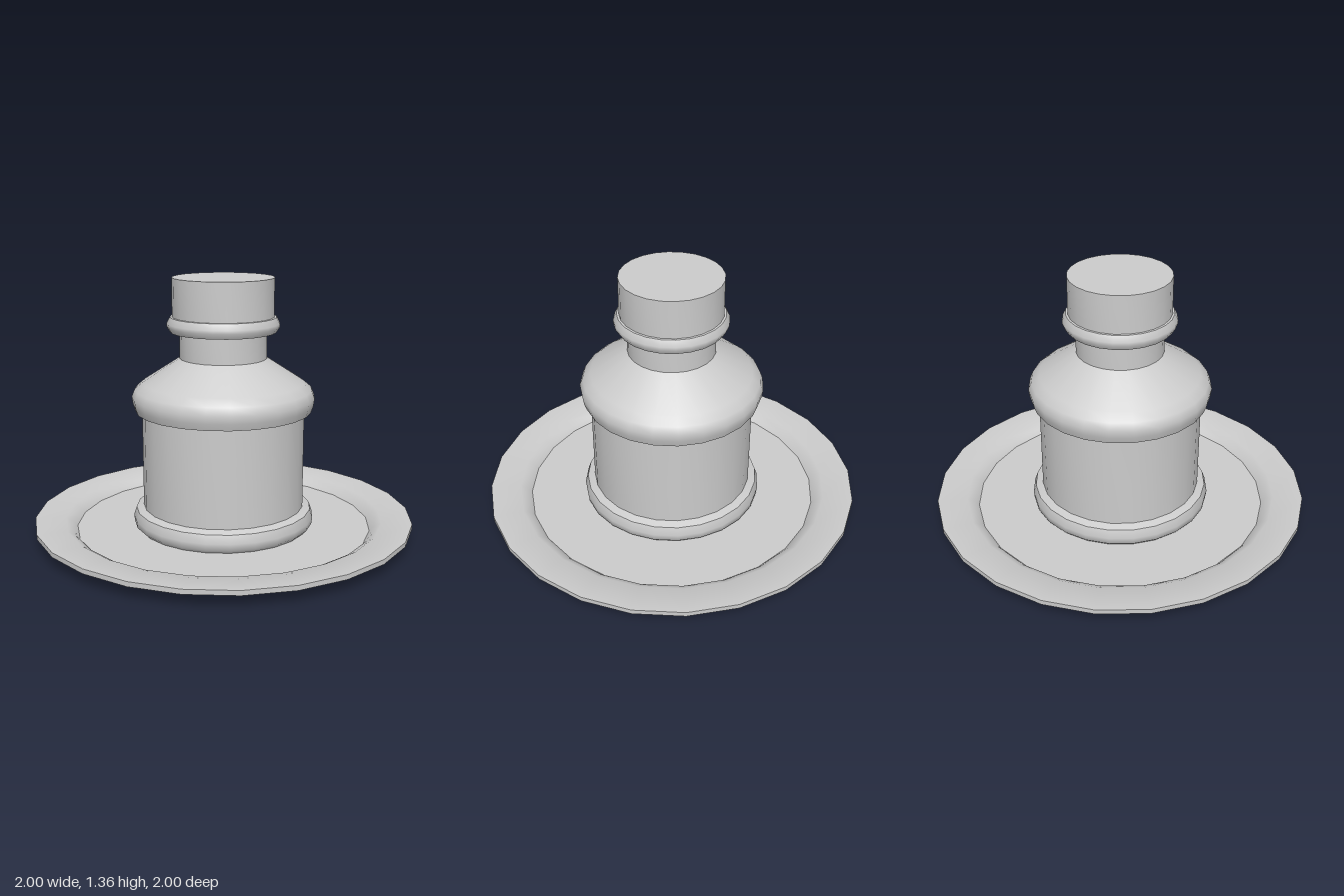
import * as THREE from 'three';
import { toCreasedNormals } from 'three/addons/utils/BufferGeometryUtils.js';

const SIDES = 24;
const CREASE = THREE.MathUtils.degToRad(42);
const material = new THREE.MeshStandardMaterial({ color: 0xcccccc });

// Turned part from a list of [radius, height], running bottom to top
function turned(name, profile) {
  const points = profile.map(([r, y]) => new THREE.Vector2(r, y));
  const geometry = toCreasedNormals(new THREE.LatheGeometry(points, SIDES), CREASE);
  const mesh = new THREE.Mesh(geometry, material);
  mesh.name = name;
  return mesh;
}

export function createModel() {
  const group = new THREE.Group();
  group.name = 'bottleOnPlate';
  group.add(
    // Shallow dish with a thin flat rim
    turned('plate', [
      [0, 0], [0.785, 0], [0.8, 0.012], [0.837, 0.065], [1, 0.065],
      [1, 0.09], [0.84, 0.085], [0.8, 0.062], [0.78, 0.04], [0, 0.04],
    ]),
    // Rounded foot ring resting on the dish
    turned('footRing', [
      [0.455, 0.04], [0.475, 0.06], [0.479, 0.095], [0.464, 0.138], [0.425, 0.152],
    ]),
    // Straight wall
    turned('body', [[0.425, 0.04], [0.425, 0.66]]),
    // Bulging shoulder sloping in to the neck
    turned('shoulder', [
      [0.425, 0.66], [0.46, 0.665], [0.472, 0.7], [0.478, 0.74],
      [0.462, 0.78], [0.42, 0.815], [0.227, 0.94],
    ]),
    turned('neck', [[0.227, 0.94], [0.227, 1.08]]),
    // Beaded collar under the cap
    turned('collar', [
      [0.227, 1.077], [0.275, 1.077], [0.292, 1.105], [0.292, 1.122], [0.275, 1.154], [0.264, 1.155],
    ]),
    turned('cap', [[0.264, 1.155], [0.264, 1.355], [0, 1.355]]),
  );
  return group;
}
